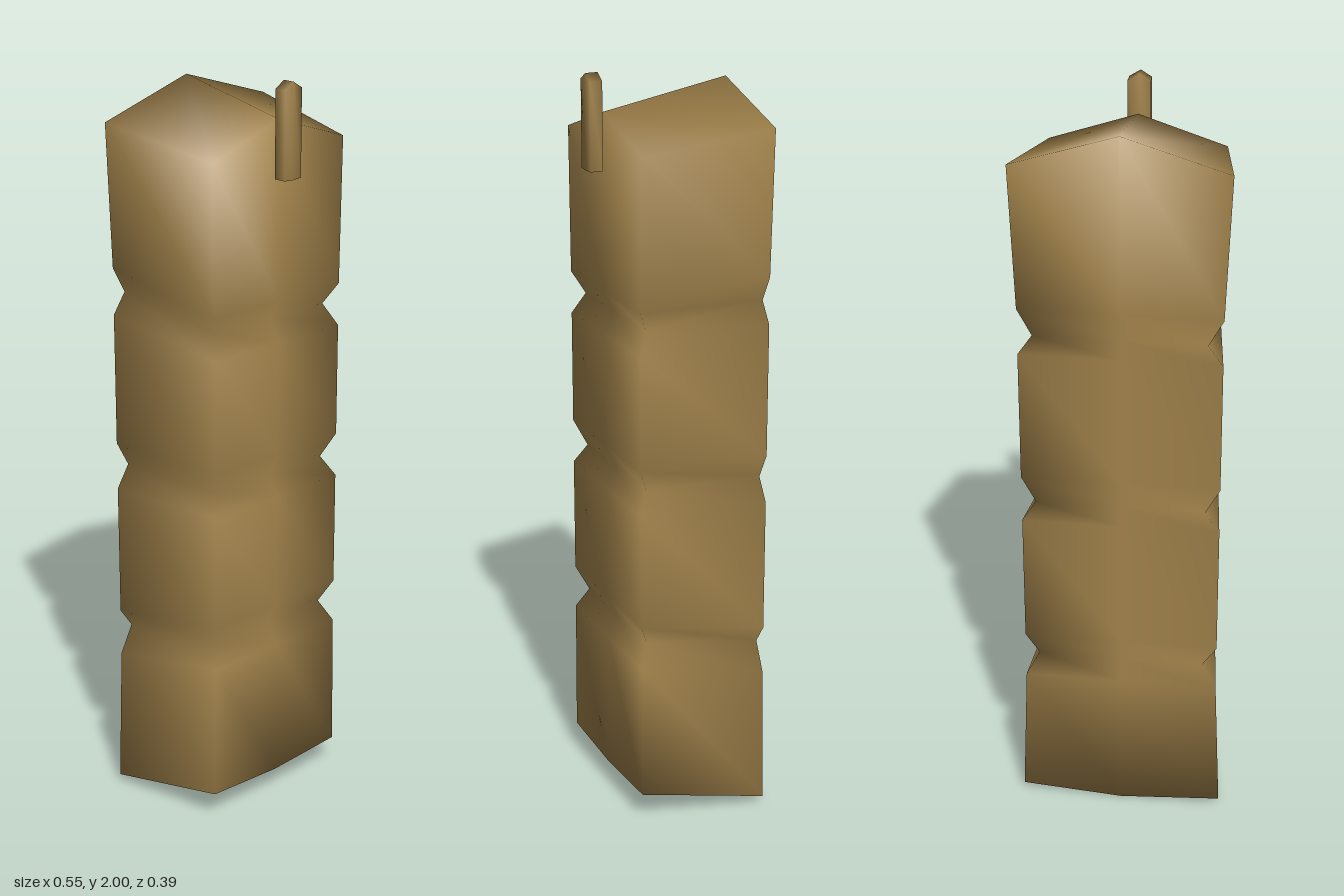
import * as THREE from 'three';

// Smooth loft of six-cornered rings. Each level gives half widths, heights and depths:
// [backHalfX, frontHalfX, backSideY, backMidY, frontSideY, frontMidY, backZ, frontZ]
function loft(levels) {
  const pos = [], index = [];
  for (const [bx, fx, bs, bm, fs, fm, bz, fz] of levels) {
    pos.push(-bx, bs, bz, 0, bm, bz, bx, bs, bz, fx, fs, fz, 0, fm, fz, -fx, fs, fz);
  }
  const quad = (a, b, c, d) => index.push(a, b, c, a, c, d);
  for (let l = 0; l < levels.length - 1; l++) {
    for (let i = 0; i < 6; i++) {
      const a = l * 6 + i, b = l * 6 + (i + 1) % 6;
      quad(a, a + 6, b + 6, b);
    }
  }
  // end caps
  const t = (levels.length - 1) * 6;
  quad(0, 1, 4, 5);
  quad(1, 2, 3, 4);
  quad(t + 5, t + 4, t + 1, t);
  quad(t + 4, t + 3, t + 2, t + 1);
  const geo = new THREE.BufferGeometry();
  geo.setAttribute('position', new THREE.Float32BufferAttribute(pos, 3));
  geo.setIndex(index);
  geo.computeVertexNormals();
  return geo;
}

export function createModel() {
  const group = new THREE.Group();
  const tan = new THREE.MeshStandardMaterial({ color: 0xa3844c });
  tan.name = 'tan';

  // Padded body: tapered ends with three pinched grooves between the segments
  const back = -0.195, front = 0.146;
  const levels = [[0.275, 0.228, 0.025, 0.005, 0.087, 0.075, back, front]];
  const grooves = [
    { b: [0.4, 0.475, 0.53], f: [0.46, 0.52, 0.58] },
    { b: [0.89, 0.95, 1.02], f: [0.895, 0.95, 1.015] },
    { b: [1.375, 1.43, 1.5], f: [1.32, 1.38, 1.435] },
  ];
  for (const { b, f } of grooves) {
    for (let i = 0; i < 3; i++) {
      const pinched = i === 1;
      levels.push([pinched ? 0.222 : 0.26, pinched ? 0.19 : 0.222,
        b[i], b[i], f[i], f[i], back, pinched ? 0.118 : front]);
    }
  }
  levels.push([0.275, 0.228, 1.88, 1.965, 1.825, 1.9, back, front]);
  const body = new THREE.Mesh(loft(levels), tan);
  body.name = 'segmentedBody';
  group.add(body);

  // Small pointed tab in front of the top segment
  const tab = new THREE.Mesh(loft([
    [0.029, 0.029, 1.757, 1.755, 1.757, 1.755, 0.16, 0.193],
    [0.029, 0.029, 1.982, 2.0, 1.982, 2.0, 0.16, 0.193],
  ]), tan);
  tab.name = 'frontTab';
  group.add(tab);

  return group;
}
